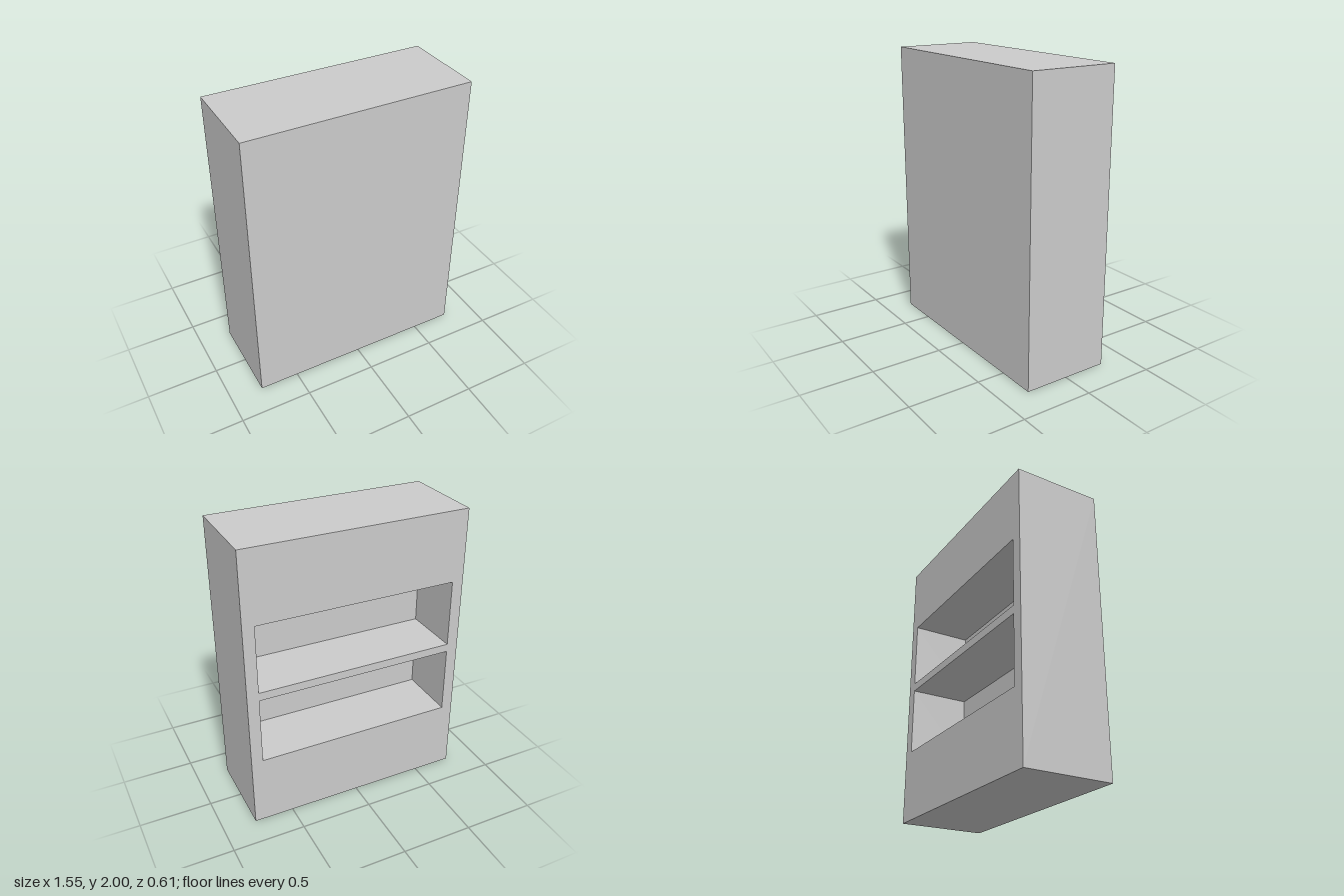
import * as THREE from 'three';

const W = 1.55, H = 2, D = 0.61;                    // cabinet
const NW = 1.39, NH = 0.473, ND = 0.42, GAP = 0.057; // shelf niches

const material = new THREE.MeshStandardMaterial({ color: 0xcccccc });

function rect(Type, w, h, y) {
  return new Type([[-w, -h], [w, -h], [w, h], [-w, h]].map(([a, b]) => new THREE.Vector2(a / 2, y + b / 2)));
}

// Box without its back (-z) face, optionally turned inside out
function openBox(w, h, d, inward) {
  const geo = new THREE.BoxGeometry(w, h, d);
  const index = Array.from(geo.index.array).slice(0, 30);
  geo.setIndex(inward ? index.reverse() : index);
  geo.clearGroups();
  if (inward) {
    const n = geo.attributes.normal;
    for (let i = 0; i < n.count; i++) n.setXYZ(i, -n.getX(i), -n.getY(i), -n.getZ(i));
  }
  return geo;
}

export function createModel() {
  const group = new THREE.Group();
  const add = (name, geo, y, z) => {
    const mesh = new THREE.Mesh(geo, material);
    mesh.name = name;
    mesh.position.set(0, y, z);
    group.add(mesh);
  };

  // Front, sides, top and base
  add('cabinetBody', openBox(W, H, D, false), H / 2, 0);

  // Back face with two openings, and the recess behind each
  const back = rect(THREE.Shape, W, H, H / 2);
  for (const [name, side] of [['lowerNiche', -1], ['upperNiche', 1]]) {
    const y = H / 2 + side * (NH + GAP) / 2;
    back.holes.push(rect(THREE.Path, NW, NH, y));
    add(name, openBox(NW, NH, ND, true), y, -D / 2 + ND / 2);
  }
  add('backPanel', new THREE.ShapeGeometry(back).rotateY(Math.PI), 0, -D / 2);

  return group;
}
